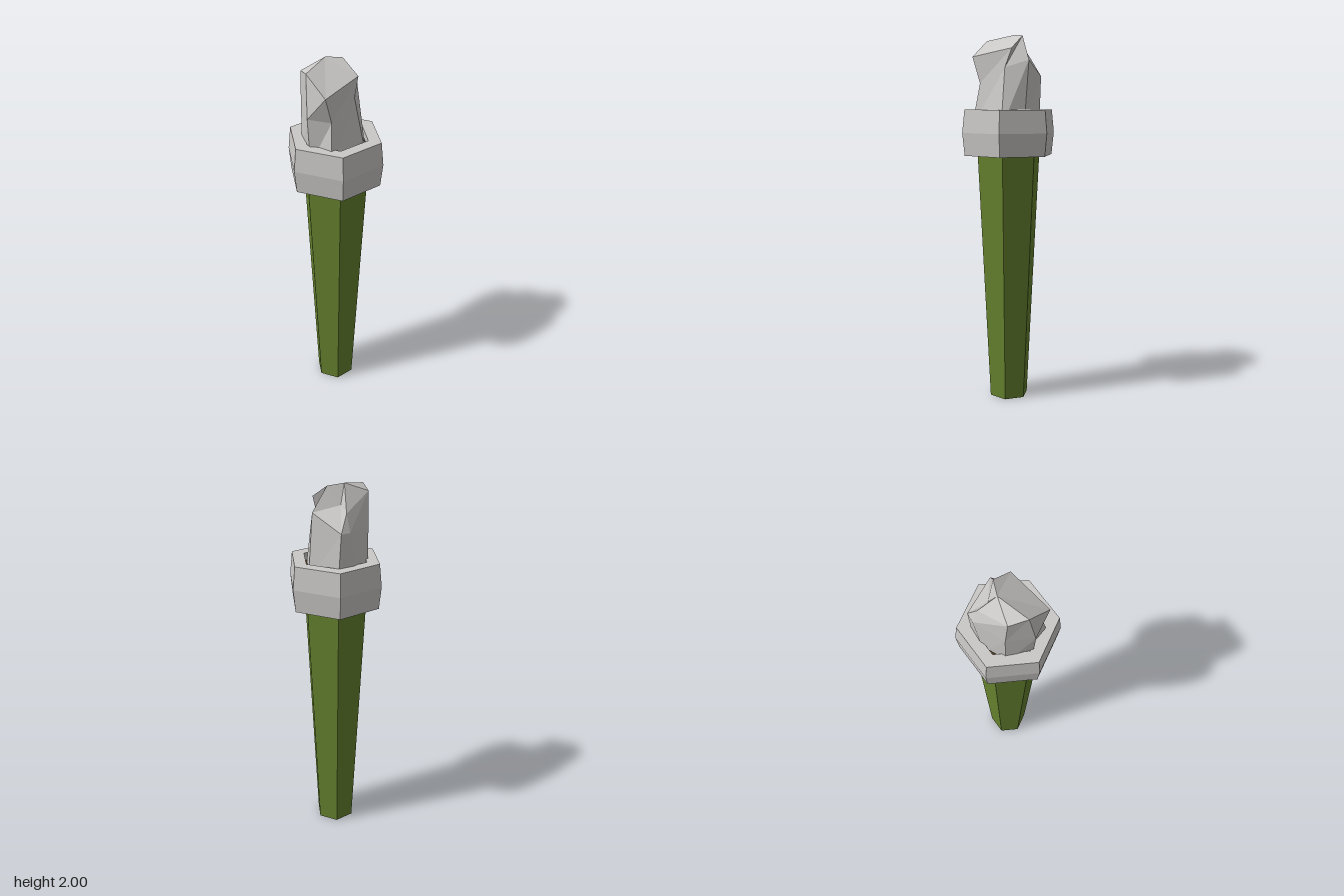
import * as THREE from 'three';

const green = new THREE.MeshStandardMaterial({ color: 0x66832f });
green.name = 'green grip';
const stone = new THREE.MeshStandardMaterial({ color: 0xcbc9c7 });
stone.name = 'pale stone';
const brown = new THREE.MeshStandardMaterial({ color: 0x4a3623 });
brown.name = 'dark brown core';

// One hard-edged facet per face
function faceted(geometry) {
  const g = geometry.index ? geometry.toNonIndexed() : geometry;
  g.computeVertexNormals();
  return g;
}

function part(name, geometry, material) {
  const mesh = new THREE.Mesh(faceted(geometry), material);
  mesh.name = name;
  return mesh;
}

// Cross-sections of the rough stone, each going front left, front right,
// right, back right, back, back left, left
const sections = [
  [[-0.14, 1.5, 0.145], [0.08, 1.5, 0.155], [0.14, 1.5, 0.04], [0.09, 1.5, -0.15],
    [-0.02, 1.5, -0.16], [-0.13, 1.5, -0.11], [-0.175, 1.5, 0.02]],
  [[-0.11, 1.74, 0.11], [0.05, 1.82, 0.09], [0.14, 1.86, 0], [0.085, 1.78, -0.17],
    [0.035, 1.78, -0.175], [-0.13, 1.78, -0.11], [-0.19, 1.75, 0.02]],
  [[-0.155, 1.88, 0.12], [0.085, 1.92, 0.075], [0.07, 1.99, -0.03], [0.03, 1.9, -0.09],
    [0.035, 1.87, -0.145], [-0.135, 1.95, -0.1], [-0.17, 1.97, -0.01]],
];
const peak = [-0.01, 2, -0.065];

function stoneGeometry() {
  const n = sections[0].length;
  const index = [];
  for (let s = 0; s < sections.length - 1; s++) {
    for (let i = 0; i < n; i++) {
      const a = s * n + i, b = s * n + (i + 1) % n;
      index.push(a, b, b + n, a, b + n, a + n);
    }
  }
  const top = (sections.length - 1) * n;
  for (let i = 0; i < n; i++) index.push(top + i, top + (i + 1) % n, top + n);
  const g = new THREE.BufferGeometry();
  g.setAttribute('position', new THREE.Float32BufferAttribute([...sections.flat(2), ...peak], 3));
  g.setIndex(index);
  return g;
}

export function createModel() {
  const model = new THREE.Group();
  model.name = 'stoneTippedHandle';

  // Tapered six-sided grip
  const grip = new THREE.CylinderGeometry(0.178, 0.108, 1.37, 6, 1, false, Math.PI / 2);
  grip.translate(0, 0.685, 0);
  model.add(part('grip', grip, green));

  // Core seen between the collar and the stone
  const core = new THREE.CylinderGeometry(0.178, 0.178, 0.2, 6, 1, false, Math.PI / 2);
  core.translate(0, 1.46, 0);
  model.add(part('core', core, brown));

  // Hexagonal collar, widest at half height
  const profile = [[0.17, 1.355], [0.25, 1.355], [0.263, 1.477], [0.25, 1.6], [0.179, 1.6], [0.179, 1.4]]
    .map(([r, y]) => new THREE.Vector2(r, y));
  model.add(part('collar', new THREE.LatheGeometry(profile, 6, Math.PI / 2), stone));

  // Rough stone head
  model.add(part('stoneHead', stoneGeometry(), stone));
  return model;
}
